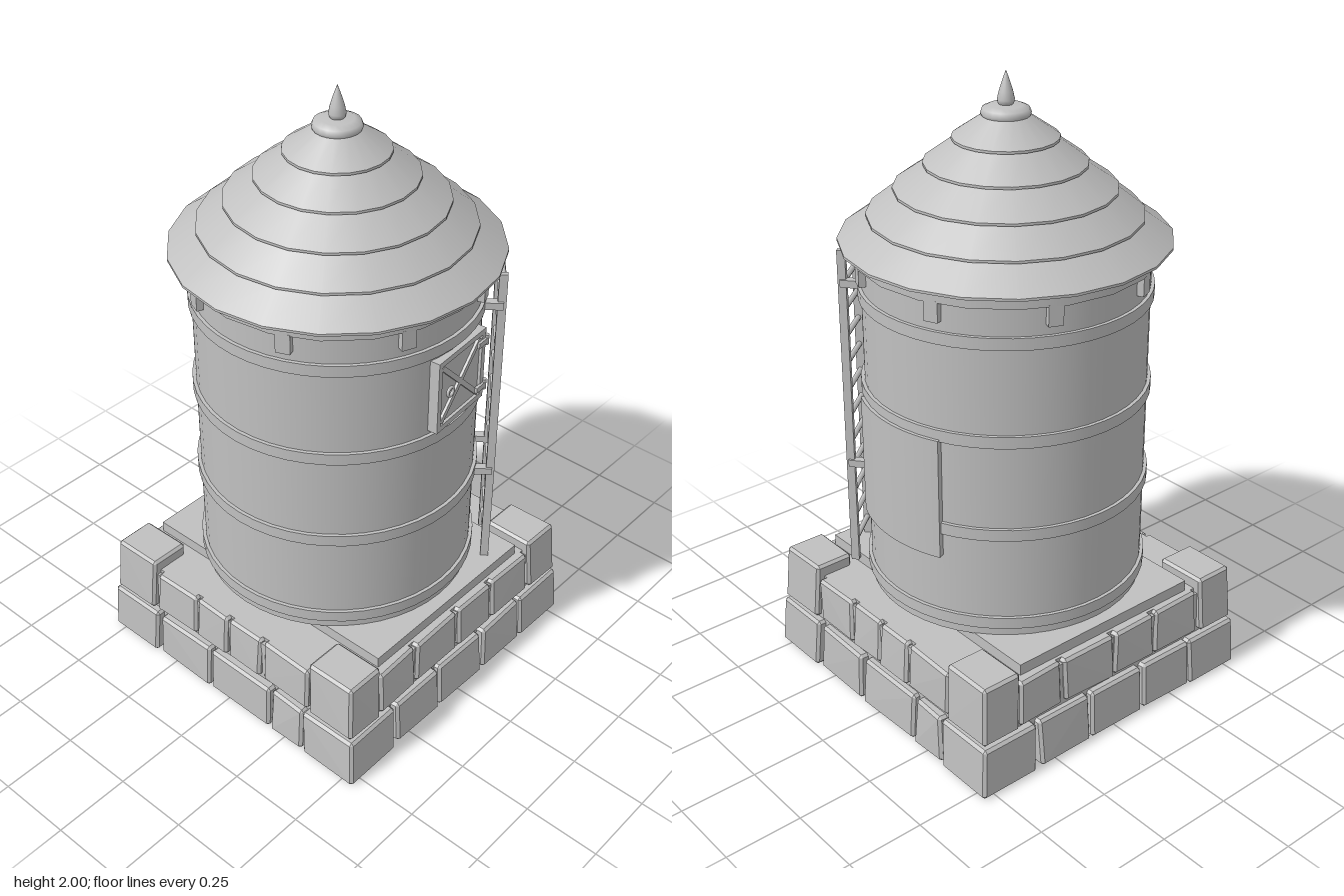
import * as THREE from 'three';
import { ConvexGeometry } from 'three/addons/geometries/ConvexGeometry.js';

export function createModel() {
  const model = new THREE.Group();
  const grey = new THREE.MeshStandardMaterial({ color: 0xc0c0c0 });
  grey.name = 'plain grey';

  const add = (name, geo, x = 0, y = 0, z = 0, parent = model) => {
    const m = new THREE.Mesh(geo, grey);
    m.name = name;
    m.position.set(x, y, z);
    parent.add(m);
    return m;
  };
  const box = (w, h, d) => new THREE.BoxGeometry(w, h, d);
  const group = (name, angle = 0) => {
    const g = new THREE.Group();
    g.name = name;
    g.rotation.y = angle;
    model.add(g);
    return g;
  };
  // Extrude a floor-plan shape upwards
  const raise = (shape, h) => new THREE.ExtrudeGeometry(shape, { depth: h, bevelEnabled: false, curveSegments: 16 })
    .rotateX(-Math.PI / 2);
  let seed = 7;
  const jitter = (a) => {
    seed = (seed * 16807) % 2147483647;
    return (seed / 2147483647 - 0.5) * 2 * a;
  };

  // Chamfered, slightly irregular stone; its sides lean in by "lean" at the top
  function stone(x0, x1, y0, y1, z0, z1, wobble, leanX = 0, leanZ = 0) {
    const c = 0.009, pts = [];
    for (const sx of [-1, 1]) for (const sy of [-1, 1]) for (const sz of [-1, 1]) {
      const top = sy > 0 ? 1 : 0;
      const x = (sx < 0 ? x0 : x1) + jitter(wobble) - top * leanX;
      const y = sy < 0 ? y0 : y1;
      const z = (sz < 0 ? z0 : z1) + (sz > 0 ? jitter(wobble) : 0) - top * leanZ;
      pts.push(
        new THREE.Vector3(x, y - sy * c, z - sz * c),
        new THREE.Vector3(x - sx * c, y, z - sz * c),
        new THREE.Vector3(x - sx * c, y - sy * c, z));
    }
    return new ConvexGeometry(pts);
  }

  // Stone base: two courses on each side, hollow underneath
  const lowerFront = [[-0.315, -0.11], [-0.1, 0.115], [0.123, 0.325]];
  const upperFront = [[-0.378, -0.208], [-0.2, 0.002], [0.01, 0.178], [0.188, 0.378]];
  const lowerSide = [[-0.315, -0.085], [-0.075, 0.185], [0.195, 0.325]];
  const upperSide = [[-0.335, -0.158], [-0.15, -0.013], [-0.005, 0.135], [0.143, 0.337]];
  for (let i = 0; i < 4; i++) {
    const g = group('stoneSide', i * Math.PI / 2);
    for (const [a, b] of i % 2 ? lowerSide : lowerFront)
      add('lowerStone', stone(a, b, 0.005, 0.167, 0.458, 0.54, 0.004, 0, 0.008), 0, 0, 0, g);
    for (const [a, b] of i % 2 ? upperSide : upperFront)
      add('upperStone', stone(a, b, 0.178, 0.33, 0.458, 0.52, 0.004, 0, 0.008), 0, 0, 0, g);
  }
  for (const sx of [-1, 1]) for (const sz of [-1, 1]) {
    const span = (s, a, b) => (s > 0 ? [a, b] : [-b, -a]);
    add('lowerCornerStone', stone(...span(sx, 0.335, 0.543), 0, 0.169, ...span(sz, 0.335, 0.543), 0.002, sx * 0.008, sz * 0.008));
    add('upperCornerStone', stone(...span(sx, 0.39, 0.527), 0.177, 0.372, ...span(sz, 0.35, 0.527), 0.002, sx * 0.01, sz * 0.01));
  }

  // Mortar wall behind the stones, with the slabs on top
  const square = (r) => [[-r, -r], [r, -r], [r, r], [-r, r]].map((p) => new THREE.Vector2(...p));
  const ring = new THREE.Shape(square(0.505));
  ring.holes.push(new THREE.Path(square(0.46)));
  add('mortarWall', raise(ring, 0.305), 0, 0.012, 0);
  add('floorSlab', box(0.98, 0.014, 0.98), 0, 0.323, 0);
  add('raisedSlab', box(0.7, 0.04, 0.96), 0, 0.347, 0);

  // Round tank with hoops
  add('tank', new THREE.CylinderGeometry(0.438, 0.438, 1.1, 48), 0, 0.915, 0);
  for (const y of [0.415, 0.725, 1.035, 1.345])
    add('hoop', new THREE.CylinderGeometry(0.449, 0.449, 0.038, 48), 0, y, 0);

  // Blocks under the eave
  for (let i = 0; i < 8; i++) {
    const g = group('eaveBlock', (i + 0.5) * Math.PI / 4);
    add('block', box(0.045, 0.065, 0.044), 0, 1.428, 0.436, g);
  }

  // Stepped conical roof
  add('eaveRing', new THREE.CylinderGeometry(0.463, 0.463, 0.042, 20), 0, 1.477, 0);
  const radii = [0.503, 0.416, 0.335, 0.245, 0.16, 0.085];
  const heights = [1.497, 1.572, 1.65, 1.725, 1.8, 1.864];
  for (let i = 0; i < 5; i++) {
    const lip = 0.008, h = heights[i + 1] - heights[i];
    add('roofLip', new THREE.CylinderGeometry(radii[i], radii[i], lip, 20), 0, heights[i] + lip / 2, 0);
    add('roofTier', new THREE.CylinderGeometry(radii[i + 1] - 0.018, radii[i], h, 20), 0, heights[i] + lip + h / 2, 0);
  }
  const profile = (pts) => new THREE.LatheGeometry(pts.map((p) => new THREE.Vector2(...p)), 20);
  add('roofCap', profile([[0.055, 1.86], [0.07, 1.864], [0.075, 1.876], [0.07, 1.89], [0.05, 1.899], [0, 1.902]]));
  add('finial', profile([[0.017, 1.895], [0.024, 1.905], [0.026, 1.915], [0.021, 1.938], [0.01, 1.973], [0, 2]]));

  // Ladder with wall ties
  const ladder = group('ladder', 0.69);
  for (const s of [-1, 1]) {
    add('ladderRail', box(0.018, 1.09, 0.026), s * 0.081, 0.905, 0.488, ladder);
    for (const y of [0.725, 1.345])
      add('ladderTie', box(0.026, 0.024, 0.062), s * 0.084, y, 0.462, ladder);
  }
  for (let i = 0; i < 12; i++) {
    const rung = add('ladderRung', new THREE.CylinderGeometry(0.009, 0.009, 0.16, 8), 0, 0.43 + i * 0.0915, 0.488, ladder);
    rung.rotation.z = Math.PI / 2;
  }

  // Hatch door with crossed braces, knob and hinges
  const door = group('hatchDoor', 0.08);
  const dy = 1.19;
  add('doorPanel', box(0.23, 0.235, 0.035), 0.002, dy, 0.426, door);
  for (const s of [-1, 1]) {
    add('doorFrameSide', box(0.018, 0.245, 0.04), 0.002 + s * 0.112, dy, 0.433, door);
    add('doorFrameRail', box(0.242, 0.018, 0.04), 0.002, dy + s * 0.114, 0.433, door);
    const brace = add('doorBrace', box(0.275, 0.016, 0.012), 0, dy, 0.446, door);
    brace.rotation.z = s * 0.79;
    add('hingeStrap', box(0.05, 0.018, 0.01), 0.105, dy + s * 0.08, 0.455, door);
    add('hingePin', new THREE.CylinderGeometry(0.008, 0.008, 0.034, 10), 0.127, dy + s * 0.08, 0.453, door);
  }
  add('doorKnob', new THREE.TorusGeometry(0.014, 0.005, 8, 16), -0.062, dy, 0.457, door);

  // Curved sheet wrapped around the tank's side
  const arc = new THREE.Shape();
  arc.absarc(0, 0, 0.459, -0.425, 0.425, false);
  arc.absarc(0, 0, 0.436, 0.425, -0.425, true);
  add('sidePanel', raise(arc, 0.395), 0, 0.628, 0);

  return model;
}
